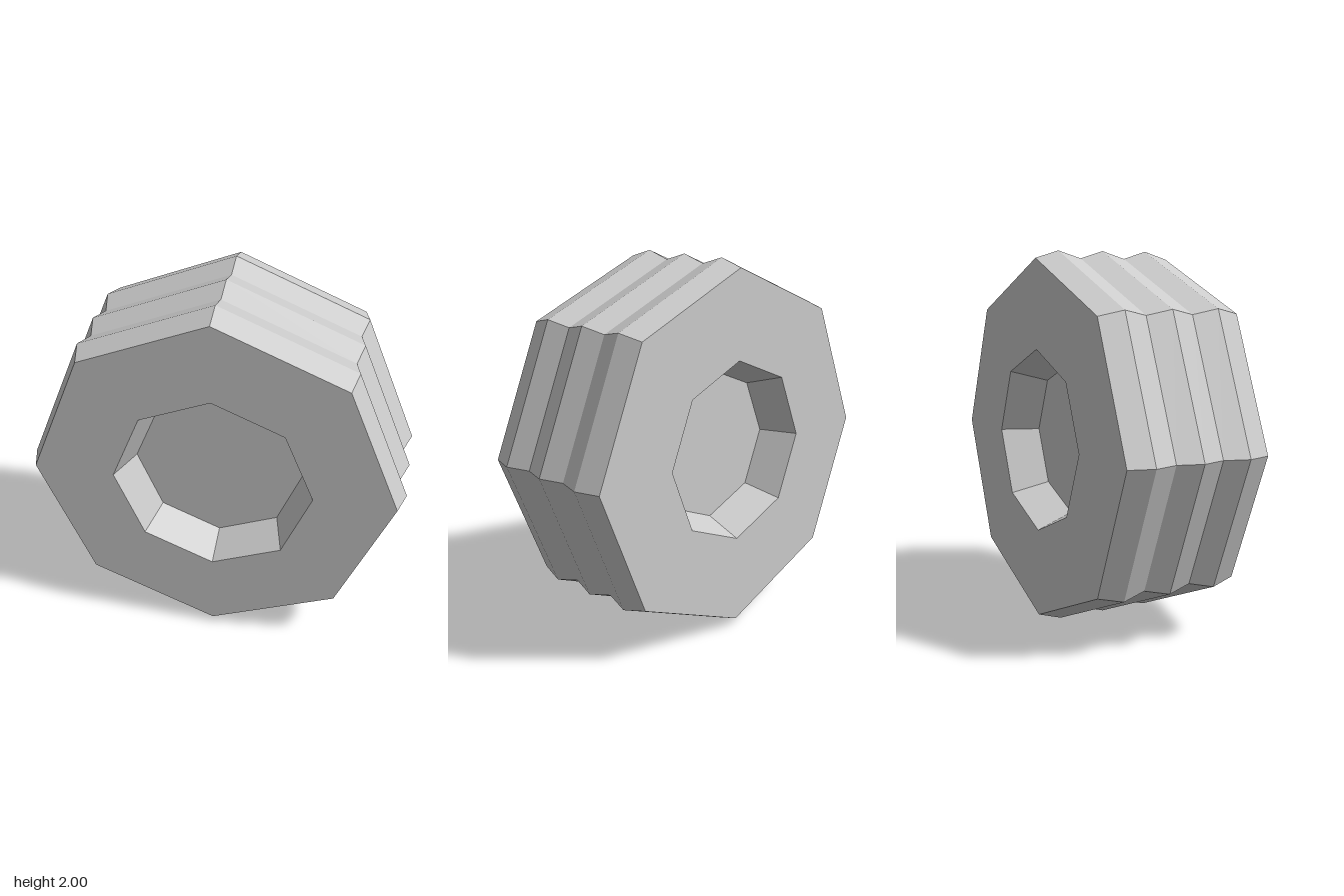
import * as THREE from 'three';

const SIDES = 8;
const HALF = 0.395;      // half of the width
const RIDGE = 1;         // radius on the ridges
const GROOVE = 0.96;     // radius in the grooves and at the rims
const DEPTH = 0.2;       // depth of the hub recesses

const material = new THREE.MeshStandardMaterial({ color: 0xcccccc, flatShading: true });

// Eight-sided turned part; profile is [radius, z] from back to front
function turned(name, profile) {
  const points = profile.map(([r, z]) => new THREE.Vector2(r, z));
  const geometry = new THREE.LatheGeometry(points, SIDES);
  geometry.rotateX(Math.PI / 2);
  const mesh = new THREE.Mesh(geometry, material);
  mesh.name = name;
  return mesh;
}

export function createModel() {
  const wheel = new THREE.Group();
  wheel.name = 'wheel';

  // Tread: three ridges across the width
  const tread = [];
  for (let i = 0; i <= 6; i++) {
    tread.push([i % 2 ? RIDGE : GROOVE, -HALF + (i * HALF) / 3]);
  }
  wheel.add(turned('tread', tread));

  // Front side: flat face, tapered recess and its floor
  wheel.add(turned('frontFace', [
    [GROOVE, HALF], [0.53, HALF], [0.455, HALF - DEPTH], [0, HALF - DEPTH],
  ]));

  // Back side: the same with a slightly smaller recess
  wheel.add(turned('backFace', [
    [0, DEPTH - HALF], [0.41, DEPTH - HALF], [0.487, -HALF], [GROOVE, -HALF],
  ]));

  wheel.position.y = 1;
  const model = new THREE.Group();
  model.name = 'ridgedWheel';
  model.add(wheel);
  return model;
}
